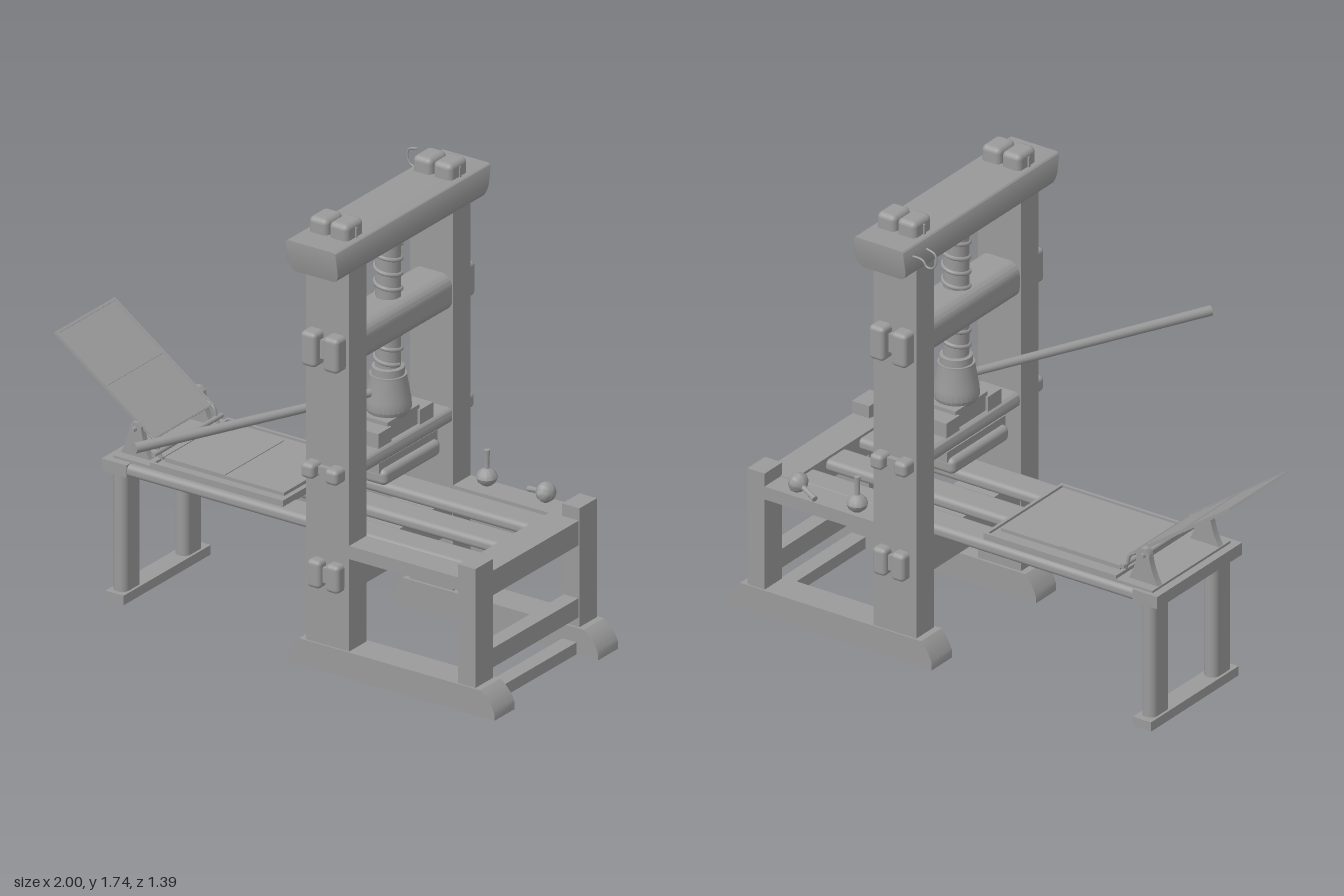
import * as THREE from 'three';
import { RoundedBoxGeometry } from 'three/addons/geometries/RoundedBoxGeometry.js';
import { toCreasedNormals } from 'three/addons/utils/BufferGeometryUtils.js';

const mat = new THREE.MeshStandardMaterial({ color: 0x9a9a9a });
const V = (x, y, z) => new THREE.Vector3(x, y, z);
const ZC = -0.23; // middle plane of the press
const SX = 0.29; // screw axis

export function createModel() {
  const root = new THREE.Group();
  const add = (name, geo) => {
    const m = new THREE.Mesh(geo, mat);
    m.name = name;
    root.add(m);
    return m;
  };
  // box from its extents, with optional rounded edges
  const box = (name, x0, x1, y0, y1, z0, z1, r = 0) => {
    const s = [x1 - x0, y1 - y0, z1 - z0];
    const m = add(name, r ? new RoundedBoxGeometry(...s, 3, r) : new THREE.BoxGeometry(...s));
    m.position.set((x0 + x1) / 2, (y0 + y1) / 2, (z0 + z1) / 2);
    return m;
  };
  // x-y profile extruded from z0 to z1
  const slab = (name, shape, z0, z1) => {
    const g = new THREE.ExtrudeGeometry(shape, { depth: z1 - z0, bevelEnabled: false, curveSegments: 8 });
    const m = add(name, toCreasedNormals(g, 0.6));
    m.position.z = z0;
    return m;
  };
  // rectangle with rounded corners, as a profile
  const roundRect = (x0, x1, y0, y1, r) => {
    const s = new THREE.Shape();
    s.absarc(x1 - r, y0 + r, r, -Math.PI / 2, 0);
    s.absarc(x1 - r, y1 - r, r, 0, Math.PI / 2);
    s.absarc(x0 + r, y1 - r, r, Math.PI / 2, Math.PI);
    s.absarc(x0 + r, y0 + r, r, Math.PI, Math.PI * 1.5);
    return s;
  };
  // round bar between two points
  const rod = (name, a, b, r0, r1 = r0) => {
    const d = b.clone().sub(a);
    const m = add(name, new THREE.CylinderGeometry(r1, r0, d.length(), 16));
    m.position.copy(a).add(b).multiplyScalar(0.5);
    m.quaternion.setFromUnitVectors(V(0, 1, 0), d.normalize());
    return m;
  };
  const tube = (name, pts, r, n = 32) =>
    add(name, new THREE.TubeGeometry(new THREE.CatmullRomCurve3(pts), n, r, 8));
  const lathe = (name, pts) =>
    add(name, toCreasedNormals(new THREE.LatheGeometry(pts.map(p => new THREE.Vector2(...p)), 28), 0.6));

  // both side frames, mirrored about the middle plane
  const foot = new THREE.Shape();
  foot.moveTo(0.13, 0.03);
  foot.lineTo(1, 0.03);
  foot.lineTo(1, 0.055);
  foot.quadraticCurveTo(0.985, 0.1, 0.94, 0.13);
  foot.lineTo(0.175, 0.13);
  foot.quadraticCurveTo(0.145, 0.1, 0.13, 0.055);
  for (const s of [1, -1]) {
    const span = (a, b) => [ZC + s * a, ZC + s * b].sort((p, q) => p - q);
    slab('foot', foot, ...span(0.25, 0.372));
    box('upright', 0.2, 0.382, 0.12, 1.6, ...span(0.26, 0.365));
    box('rearPost', 0.842, 0.915, 0.03, 0.58, ...span(0.26, 0.365));
    box('sideRail', 0.38, 0.85, 0.48, 0.53, ...span(0.26, 0.365));
    // paired tenons poking out of the uprights, with a locking wedge
    for (const [y0, y1, out, xa, xb, w] of [
      [1.19, 1.32, 0.418, 0.21, 0.368, 0.064], [0.765, 0.822, 0.418, 0.21, 0.365, 0.054], [0.35, 0.455, 0.405, 0.228, 0.362, 0.056],
    ]) {
      box('tenon', xa, xa + w, y0, y1, ...span(0.34, out), 0.016);
      box('tenon', xb - w, xb, y0, y1, ...span(0.34, out), 0.016);
      const ym = (y0 + y1) / 2, h = (y1 - y0) * 0.27;
      box('tenonWedge', xa + w / 2, xb - w / 2, ym - h, ym + h, ...span(0.36, 0.385));
    }
    box('capTenon', 0.207, 0.286, 1.64, 1.735, ...span(0.26, 0.365), 0.02);
    box('capTenon', 0.293, 0.372, 1.64, 1.735, ...span(0.26, 0.365), 0.02);
    box('capWedge', 0.2, 0.378, 1.67, 1.715, ...span(0.308, 0.316));
  }

  // cap beam: rounded underside, ends undercut
  const cap = new THREE.Shape();
  cap.moveTo(0.183, 1.665);
  cap.lineTo(0.183, 1.6);
  cap.quadraticCurveTo(0.186, 1.562, 0.21, 1.553);
  cap.lineTo(0.37, 1.553);
  cap.quadraticCurveTo(0.392, 1.562, 0.395, 1.6);
  cap.lineTo(0.395, 1.665);
  cap.quadraticCurveTo(0.393, 1.675, 0.383, 1.677);
  cap.lineTo(0.195, 1.677);
  cap.quadraticCurveTo(0.185, 1.675, 0.183, 1.665);
  const capGeo = new THREE.ExtrudeGeometry(cap, { depth: 0.93, bevelEnabled: false });
  const cp = capGeo.attributes.position;
  for (let i = 0; i < cp.count; i++) {
    const inset = Math.max(0, 1.64 - cp.getY(i)) * 0.3;
    cp.setZ(i, cp.getZ(i) < 0.4 ? -0.697 + inset : 0.235 - inset);
  }
  add('capBeam', toCreasedNormals(capGeo, 0.6));
  tube('hook', [[0.2, 1.637], [0.15, 1.637], [0.136, 1.63], [0.125, 1.614], [0.1, 1.615], [0.084, 1.64], [0.09, 1.672], [0.125, 1.684]]
    .map(([x, y]) => V(x, y, -0.64)), 0.004);

  // cross beams between the uprights
  const za = -0.5, zb = 0.04;
  slab('headBeam', roundRect(0.205, 0.378, 1.185, 1.323, 0.045), za, zb);
  slab('shelfBeam', roundRect(0.205, 0.378, 0.763, 0.82, 0.02), za, zb);
  box('winterBeam', 0.205, 0.378, 0.35, 0.48, za, zb);
  box('rearCrossBeam', 0.79, 0.912, 0.44, 0.533, za, zb);
  box('rearStretcher', 0.85, 0.91, 0.165, 0.238, za, zb);
  box('footStretcher', 0.85, 0.91, 0.03, 0.075, za, zb);

  // screw with helical thread
  rod('screw', V(SX, 1.04, ZC), V(SX, 1.54, ZC), 0.046);
  const thread = [];
  for (let i = 0; i <= 96; i++) {
    const t = i / 12 * Math.PI * 2;
    thread.push(V(SX + 0.046 * Math.cos(t), 1.07 + 0.455 * i / 96, ZC + 0.046 * Math.sin(t)));
  }
  tube('screwThread', thread, 0.008, 240);
  lathe('screwCollar', [[0, 0.88], [0.07, 0.88], [0.083, 0.905], [0.08, 0.94], [0.066, 1.02], [0.066, 1.03],
    [0.058, 1.03], [0.058, 1.057], [0.046, 1.06], [0, 1.06]]).position.set(SX, 0, ZC);
  rod('pullBar', V(SX, 0.968, ZC), V(-0.138, 0.968, 0.685), 0.015, 0.019);

  // sleeve box and platen
  box('sleeveBox', 0.225, 0.355, 0.72, 0.89, -0.325, -0.135);
  for (const s of [1, -1])
    box('sleeveGuide', 0.215, 0.365, 0.81, 0.875, ZC + s * 0.125 - 0.04, ZC + s * 0.125 + 0.04);
  box('platenBacking', 0.205, 0.375, 0.73, 0.77, -0.405, -0.055);
  box('platen', 0.182, 0.397, 0.682, 0.742, -0.4, -0.06, 0.02);

  // carriage bed and its front trestle
  for (const z of [-0.43, -0.2425, -0.045]) box('bedRail', -0.7, 0.8, 0.48, 0.525, z - 0.06, z + 0.06, 0.018);
  box('bedEndBoard', -0.745, -0.64, 0.48, 0.527, -0.49, 0.018);
  for (const z of [-0.415, -0.045]) box('frontLeg', -0.712, -0.655, 0.01, 0.5, z - 0.055, z + 0.055, 0.026);
  box('frontLegFoot', -0.722, -0.645, 0, 0.036, -0.495, 0.028);

  // coffin tray with raised rim and two-part type bed
  box('tray', -0.56, 0, 0.522, 0.54, -0.475, -0.01);
  for (const z of [-0.475, -0.022]) box('trayRim', -0.548, -0.012, 0.53, 0.549, z, z + 0.012);
  for (const x of [-0.56, -0.012]) box('trayRim', x, x + 0.012, 0.53, 0.549, -0.475, -0.01);
  box('typeBed', -0.535, -0.28, 0.535, 0.556, -0.415, -0.06);
  box('typeBed', -0.28, -0.03, 0.535, 0.553, -0.415, -0.06);

  // hinge brackets
  box('hingePlate', -0.715, -0.56, 0.522, 0.536, -0.475, -0.01);
  const br = new THREE.Shape();
  br.moveTo(-0.715, 0.53);
  br.lineTo(-0.585, 0.53);
  br.quadraticCurveTo(-0.615, 0.58, -0.625, 0.65);
  br.lineTo(-0.64, 0.664);
  br.lineTo(-0.66, 0.664);
  br.lineTo(-0.672, 0.65);
  br.quadraticCurveTo(-0.68, 0.58, -0.715, 0.53);
  for (const z of [-0.425, -0.06]) slab('hingeBracket', br, z - 0.013, z + 0.013);
  rod('bracketRod', V(-0.65, 0.64, -0.45), V(-0.65, 0.64, -0.03), 0.009);
  rod('hingeRod', V(-0.56, 0.57, -0.44), V(-0.56, 0.57, -0.03), 0.009);
  for (const z of [-0.41, -0.065])
    tube('hingeStrap', [V(-0.6, 0.625, z), V(-0.573, 0.605, z), V(-0.562, 0.57, z), V(-0.55, 0.54, z)], 0.007, 16);

  // raised printing frame: thin panel with battens
  const frame = new THREE.Group();
  frame.name = 'raisedFrame';
  frame.position.set(-0.578, 0.612, 0);
  frame.rotation.z = -Math.atan2(0.298, 0.42);
  const part = (name, x, z, w, h, d) => {
    const m = new THREE.Mesh(new THREE.BoxGeometry(w, h, d), mat);
    m.name = name;
    m.position.set(x, 0, z);
    frame.add(m);
  };
  const L = 0.515, zm = -0.2375;
  part('framePanel', -L / 2, zm, L, 0.004, 0.34);
  for (const x of [-0.008, -L / 2, -L + 0.006]) part('frameBatten', x, zm, 0.01, 0.01, 0.338);
  for (const z of [-0.411, -0.064]) part('frameSide', -L / 2, z, L, 0.012, 0.009);
  root.add(frame);

  // ink balls with turned handles, on the far side rail
  const inkBall = (x, y, z, dir) => {
    const m = lathe('inkBall', [[0, -0.032], [0.018, -0.028], [0.032, -0.016], [0.038, 0], [0.034, 0.014],
      [0.022, 0.027], [0.01, 0.034], [0.009, 0.06], [0.011, 0.103], [0, 0.105]]);
    m.position.set(x, y, z);
    m.quaternion.setFromUnitVectors(V(0, 1, 0), dir.normalize());
  };
  inkBall(0.475, 0.56, -0.56, V(0, 1, 0));
  inkBall(0.725, 0.567, -0.56, V(-0.1, -0.025, -0.035));
  return root;
}
